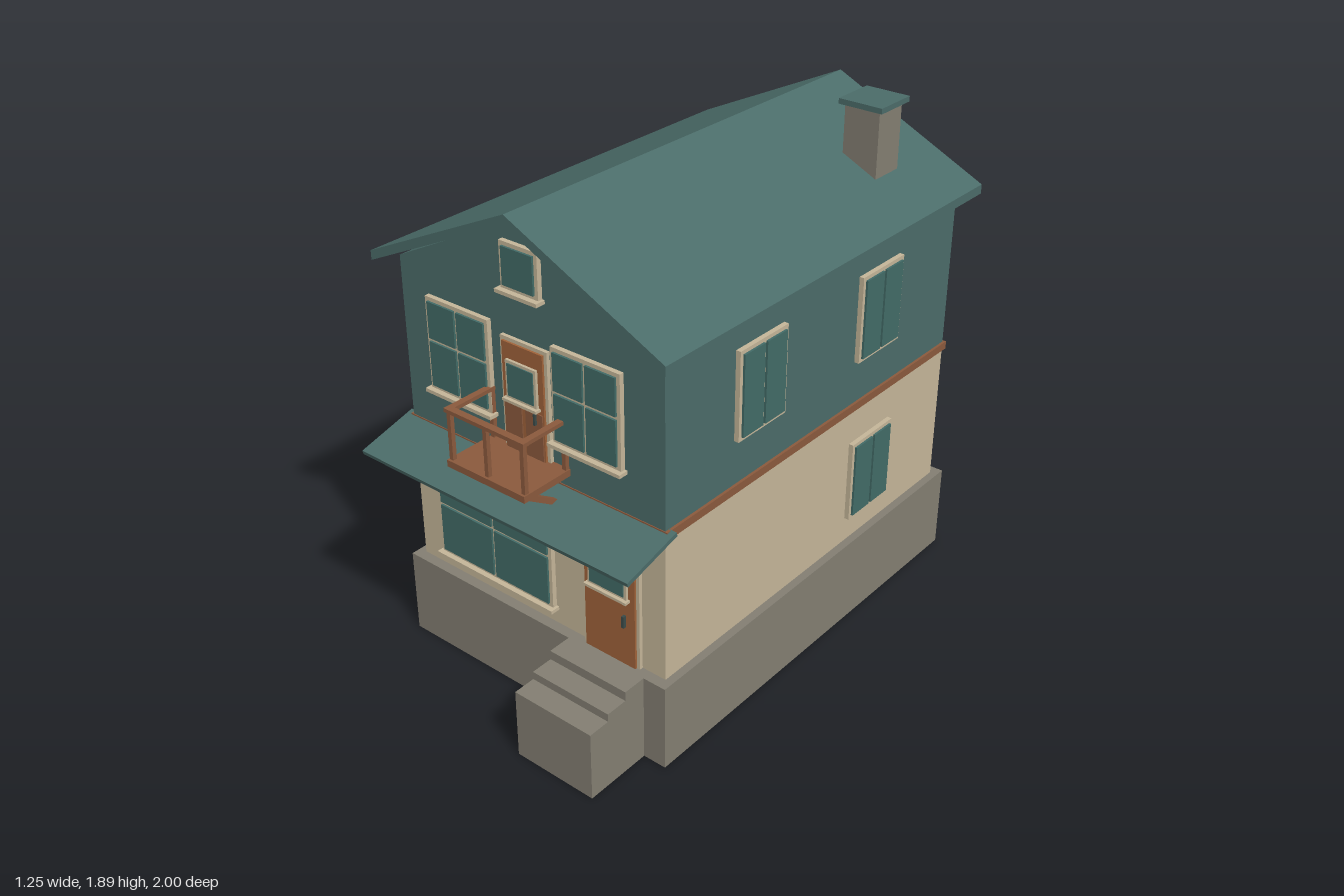
import * as THREE from 'three';

const mat = (name, color) => {
  const m = new THREE.MeshStandardMaterial({ color });
  m.name = name;
  return m;
};

export function createModel() {
  const teal = mat('teal siding', 0x4b6c69);
  const glass = mat('glass', 0x426b67);
  const cream = mat('cream plaster', 0xc5b699);
  const stone = mat('stone', 0x837e72);
  const doorWood = mat('door wood', 0xa0633a);
  const wood = mat('brown wood', 0x8b5a3d);
  const iron = mat('dark metal', 0x3a4a48);

  const house = new THREE.Group();
  house.name = 'house';

  // box given by its lower and upper corners
  const box = (name, m, x0, x1, y0, y1, z0, z1, parent = house) => {
    const mesh = new THREE.Mesh(new THREE.BoxGeometry(x1 - x0, y1 - y0, z1 - z0), m);
    mesh.position.set((x0 + x1) / 2, (y0 + y1) / 2, (z0 + z1) / 2);
    mesh.name = name;
    parent.add(mesh);
    return mesh;
  };
  // outline in x and y, pushed along z
  const prism = (name, m, pts, z0, z1) => {
    const shape = new THREE.Shape(pts.map(([x, y]) => new THREE.Vector2(x, y)));
    const g = new THREE.ExtrudeGeometry(shape, { depth: z1 - z0, bevelEnabled: false });
    g.translate(0, 0, z0);
    const mesh = new THREE.Mesh(g, m);
    mesh.name = name;
    house.add(mesh);
  };
  // square beam sloping in the y-z plane
  const beam = (name, m, x, w, t, y0, z0, y1, z1) => {
    const len = Math.hypot(y1 - y0, z1 - z0);
    const mesh = new THREE.Mesh(new THREE.BoxGeometry(w, t, len), m);
    mesh.position.set(x, (y0 + y1) / 2, (z0 + z1) / 2);
    mesh.rotation.x = -Math.atan2(y1 - y0, z1 - z0);
    mesh.name = name;
    house.add(mesh);
  };
  // group standing on a wall, its own +z pointing outward
  const onWall = (name, x, z, turn) => {
    const g = new THREE.Group();
    g.name = name;
    g.position.set(x, 0, z);
    g.rotation.y = turn;
    house.add(g);
    return g;
  };
  // window: backing frame, proud panes in a cols x rows grid, optional sill
  const addWindow = (parent, cx, w, y0, y1, cols, rows, sill) => {
    const x0 = cx - w / 2, edge = 0.014, bar = 0.012;
    box('windowFrame', cream, x0, x0 + w, y0, y1, 0, 0.018, parent);
    const pw = (w - 2 * edge - bar * (cols - 1)) / cols;
    const h = y1 - y0 - 2 * edge;
    // the lower row is a little taller
    const rowSpans = rows === 1 ? [[0, h]] : [[0, h * 0.55 - bar / 2], [h * 0.55 + bar / 2, h]];
    for (let c = 0; c < cols; c++) {
      const px = x0 + edge + c * (pw + bar);
      for (const [a, b] of rowSpans)
        box('windowPane', glass, px, px + pw, y0 + edge + a, y0 + edge + b, 0.018, 0.026, parent);
    }
    if (sill) box('windowSill', cream, x0 - 0.01, x0 + w + 0.01, y0 - 0.013, y0, 0, 0.038, parent);
  };

  // foundation and entry steps
  box('foundation', stone, -0.595, 0.595, 0, 0.33, -0.97, 0.74);
  [[0.33, 0.74, 0.83], [0.295, 0.83, 0.915], [0.265, 0.915, 1]].forEach(([top, z0, z1]) =>
    box('entryStep', stone, 0.175, 0.505, 0, top, z0, z1));

  // walls and the band between floors
  box('lowerWalls', cream, -0.565, 0.565, 0.33, 0.88, -0.93, 0.7);
  box('floorBand', wood, -0.575, 0.575, 0.88, 0.91, -0.94, 0.703);
  prism('upperWalls', teal, [[-0.565, 0.91], [0.565, 0.91], [0.565, 1.512], [0, 1.797], [-0.565, 1.512]], -0.93, 0.7);

  // roof and chimney
  prism('roof', teal, [[0, 1.83], [-0.625, 1.535], [-0.625, 1.5], [0, 1.796], [0.625, 1.5], [0.625, 1.535]], -1, 0.77);
  box('chimney', stone, 0.29, 0.43, 1.58, 1.87, -0.735, -0.597);
  box('chimneyCap', teal, 0.272, 0.447, 1.87, 1.89, -0.755, -0.582);

  // side windows, the same on both sides
  for (const s of [-1, 1]) {
    const side = onWall(s > 0 ? 'leftSideWindows' : 'rightSideWindows', s * 0.565, 0, s * Math.PI / 2);
    addWindow(side, -s * 0.235, 0.25, 1.075, 1.4, 2, 1, false);
    addWindow(side, s * 0.445, 0.25, 1.075, 1.4, 2, 1, false);
    addWindow(side, s * 0.445, 0.25, 0.43, 0.745, 2, 1, false);
  }

  // back windows
  const back = onWall('backWindows', 0, -0.93, Math.PI);
  for (const x of [-0.285, 0.285]) {
    addWindow(back, x, 0.255, 1.075, 1.4, 2, 1, true);
    addWindow(back, x, 0.255, 0.43, 0.745, 2, 1, true);
  }

  // front windows
  const front = onWall('frontDetails', 0, 0.7, 0);
  addWindow(front, -0.295, 0.285, 1.07, 1.41, 2, 2, true);
  addWindow(front, 0.262, 0.285, 1.07, 1.41, 2, 2, true);
  addWindow(front, 0, 0.16, 1.55, 1.71, 1, 1, true);
  addWindow(front, -0.18, 0.535, 0.4, 0.78, 2, 2, true);

  // doors with a framed light
  const addDoor = (x0, x1, y0, y1, wx0, wx1, wy0, wy1) => {
    box('doorFrame', cream, x0 - 0.013, x1 + 0.013, y0, y1 + 0.013, 0, 0.014, front);
    box('door', doorWood, x0, x1, y0, y1, 0.014, 0.022, front);
    box('doorLightFrame', cream, wx0, wx1, wy0, wy1, 0.022, 0.032, front);
    box('doorLight', glass, wx0 + 0.01, wx1 - 0.01, wy0 + 0.01, wy1 - 0.01, 0.032, 0.036, front);
    box('doorLightSill', cream, wx0 - 0.008, wx1 + 0.008, wy0 - 0.01, wy0, 0.022, 0.045, front);
  };
  addDoor(0.24, 0.455, 0.33, 0.79, 0.263, 0.428, 0.6, 0.738);
  box('doorHandle', iron, 0.408, 0.418, 0.485, 0.53, 0.022, 0.035, front);
  addDoor(-0.088, 0.088, 0.975, 1.365, -0.066, 0.066, 1.172, 1.308);
  box('doorHandle', iron, 0.05, 0.058, 1.11, 1.15, 0.022, 0.035, front);
  for (const s of [-1, 1])
    box('doorPanel', wood, s * 0.045 - 0.037, s * 0.045 + 0.037, 0.98, 1.15, 0.022, 0.026, front);

  // awning with its ledger and braces
  beam('awning', teal, 0, 1.19, 0.016, 0.903, 0.68, 0.841, 0.913);
  box('awningLedger', wood, -0.515, 0.515, 0.81, 0.86, 0.7, 0.722);
  for (const s of [-1, 1]) {
    beam('awningBrace', wood, s * 0.486, 0.02, 0.018, 0.757, 0.705, 0.845, 0.865);
    beam('balconyBrace', wood, s * 0.157, 0.02, 0.02, 0.842, 0.7, 0.957, 0.88);
  }

  // balcony
  box('balconyDeck', wood, -0.172, 0.172, 0.953, 0.978, 0.7, 0.91);
  for (const x of [-0.16, 0, 0.16])
    box('balconyPost', wood, x - 0.008, x + 0.008, 0.978, 1.153, 0.885, 0.901);
  for (const s of [-1, 1]) {
    box('balconyWallPost', wood, s * 0.16 - 0.008, s * 0.16 + 0.008, 0.978, 1.153, 0.7, 0.716);
    box('balconySideRail', wood, s * 0.162 - 0.012, s * 0.162 + 0.012, 1.153, 1.167, 0.7, 0.88);
  }
  box('balconyFrontRail', wood, -0.175, 0.175, 1.153, 1.167, 0.88, 0.906);

  return house;
}
